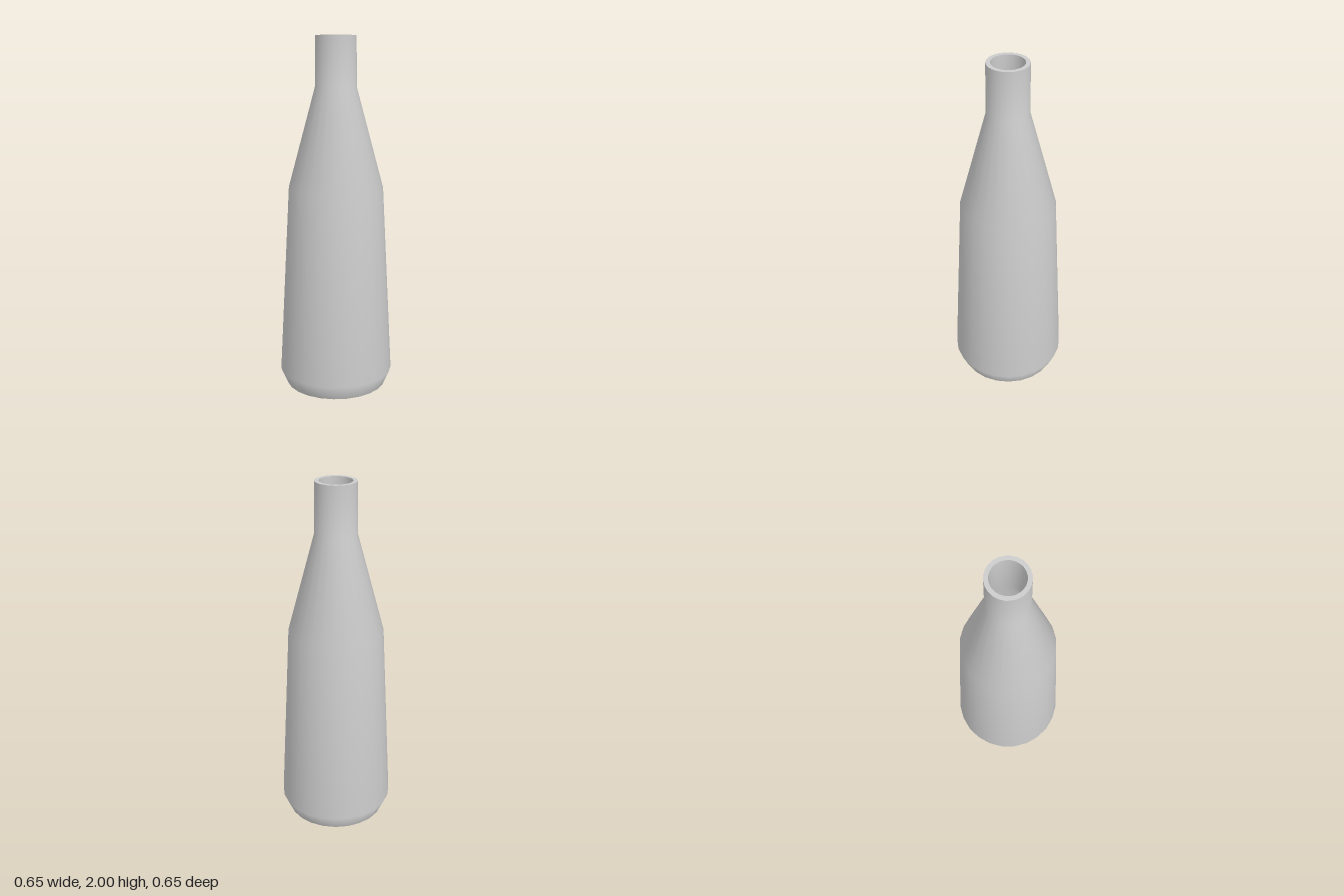
import * as THREE from 'three';

const SIDES = 24;

export function createModel() {
  const bottle = new THREE.Group();
  bottle.name = 'bottle';
  const grey = new THREE.MeshStandardMaterial({ color: 0xcccccc });
  grey.name = 'light grey';

  // Each lathe is smooth along its own profile; separate lathes keep hard edges.
  const turn = (name, profile) => {
    const points = profile.map(([r, y]) => new THREE.Vector2(r, y));
    const mesh = new THREE.Mesh(new THREE.LatheGeometry(points, SIDES), grey);
    mesh.name = name;
    bottle.add(mesh);
  };

  // Underside
  turn('base', [[0, 0], [0.288, 0]]);
  // Chamfered foot, tapering body, shoulder and neck
  turn('body', [[0.288, 0], [0.325, 0.085], [0.267, 1.16], [0.116, 1.72], [0.113, 2]]);
  // Flat lip around the mouth
  turn('rim', [[0.113, 2], [0.09, 2]]);
  // Hollow inside
  turn('innerWall', [[0.09, 2], [0.09, 1.72], [0.24, 1.15], [0.295, 0.1], [0.265, 0.03]]);
  turn('innerFloor', [[0.265, 0.03], [0, 0.03]]);

  return bottle;
}
